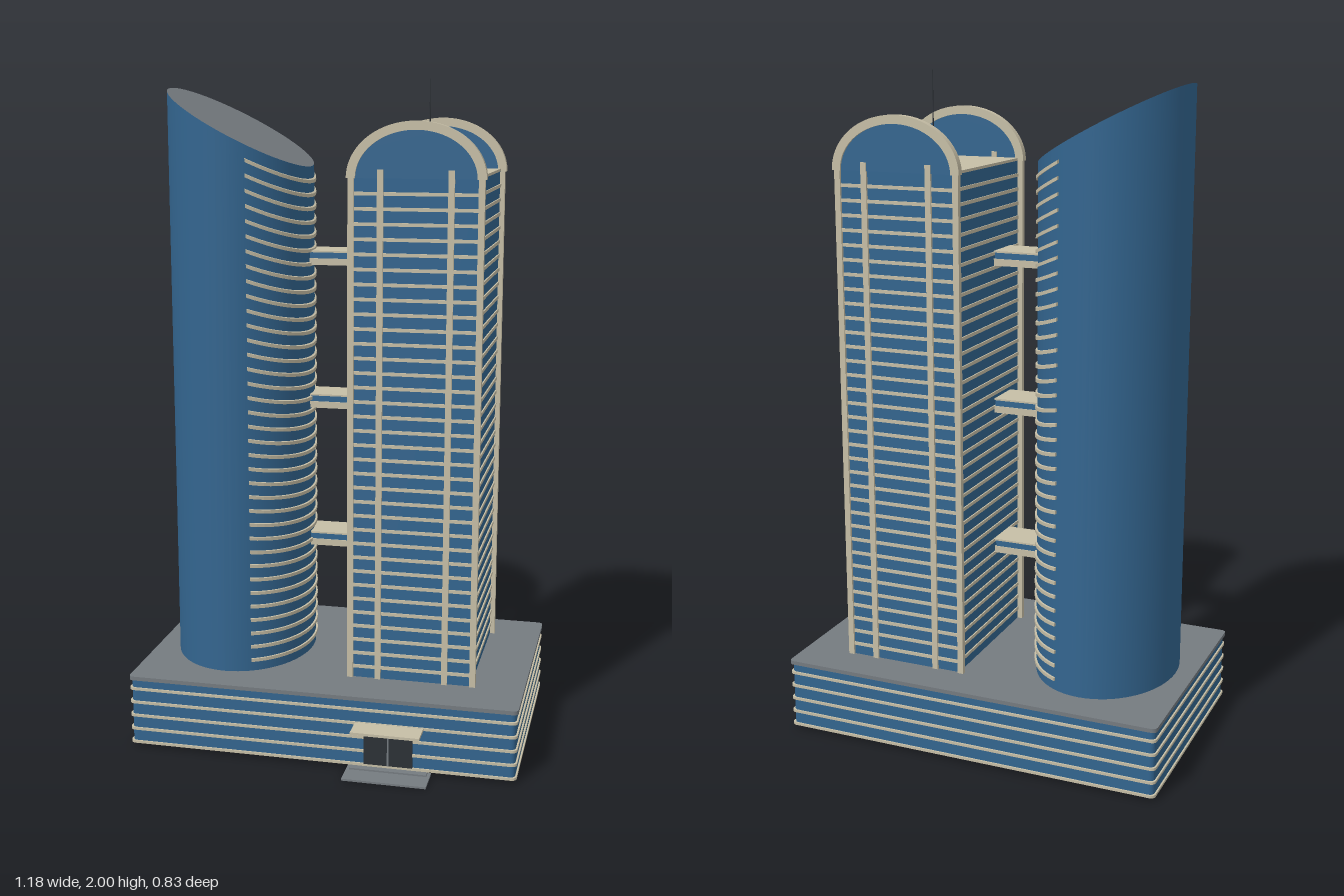
import * as THREE from 'three';

const mat = (color) => new THREE.MeshStandardMaterial({ color });
const glass = mat(0x33658f), stone = mat(0xc6bea6), roofGrey = mat(0x757b80), dark = mat(0x2c3136);

export function createModel() {
  const model = new THREE.Group();
  const group = (name) => {
    const g = new THREE.Group();
    g.name = name;
    model.add(g);
    return g;
  };
  const add = (parent, name, geo, material) => {
    const m = new THREE.Mesh(geo, material);
    m.name = name;
    parent.add(m);
    return m;
  };
  // Box given by its extents on each axis
  const box = (parent, name, x0, x1, y0, y1, z0, z1, material) => {
    const m = add(parent, name, new THREE.BoxGeometry(x1 - x0, y1 - y0, z1 - z0), material);
    m.position.set((x0 + x1) / 2, (y0 + y1) / 2, (z0 + z1) / 2);
    return m;
  };
  // Horizontal plate: a plan shape (x, -z) extruded upwards from y = 0
  const plate = (shape, height) => {
    const g = new THREE.ExtrudeGeometry(shape, { depth: height, bevelEnabled: false, curveSegments: 4 });
    return g.rotateX(-Math.PI / 2);
  };
  const roundedRect = (hw, hd, r, Type = THREE.Shape) => {
    const s = new Type();
    s.absarc(hw - r, hd - r, r, 0, Math.PI / 2);
    s.absarc(r - hw, hd - r, r, Math.PI / 2, Math.PI);
    s.absarc(r - hw, r - hd, r, Math.PI, Math.PI * 1.5);
    s.absarc(hw - r, r - hd, r, Math.PI * 1.5, Math.PI * 2);
    return s;
  };

  // Podium: hollow glass walls, floor bands and roof
  const podium = group('podium');
  podium.position.z = -0.04;
  const ring = (grow) => {
    const s = roundedRect(0.586 + grow, 0.366 + grow, 0.015);
    s.holes.push(roundedRect(0.576, 0.356, 0.01, THREE.Path));
    return s;
  };
  add(podium, 'podiumWalls', plate(ring(0), 0.21), glass).position.y = 0.01;
  for (let i = 0; i < 5; i++) {
    add(podium, 'podiumBand', plate(ring(0.005), 0.008), stone).position.y = 0.012 + i * 0.043;
  }
  add(podium, 'podiumRoof', plate(roundedRect(0.592, 0.372, 0.015), 0.012), roofGrey).position.y = 0.216;

  // Entrance on the front of the podium
  const entrance = group('entrance');
  box(entrance, 'entranceDoor', 0.14, 0.285, 0.02, 0.14, 0.31, 0.334, dark);
  box(entrance, 'doorMullion', 0.21, 0.215, 0.02, 0.14, 0.32, 0.336, roofGrey);
  box(entrance, 'canopy', 0.113, 0.317, 0.14, 0.148, 0.32, 0.403, stone);
  box(entrance, 'lowerStep', 0.09, 0.34, 0, 0.006, 0.32, 0.415, roofGrey);
  box(entrance, 'upperStep', 0.1, 0.33, 0.006, 0.011, 0.32, 0.35, roofGrey);

  // Oval tower with a sloping top
  const oval = group('ovalTower');
  const cx = -0.32, cz = -0.04, rx = 0.214, rz = 0.265, foot = 0.22;
  const slopeTop = (x) => 1.975 - (x + 0.535) * 0.535;
  const body = new THREE.CylinderGeometry(1, 1, 1, 64);
  const p = body.attributes.position;
  for (let i = 0; i < p.count; i++) {
    const x = cx + p.getX(i) * rx;
    p.setXYZ(i, x, p.getY(i) > 0 ? slopeTop(x) : foot - 0.01, cz + p.getZ(i) * rz);
  }
  body.computeVertexNormals();
  add(oval, 'ovalTowerBody', body, [glass, roofGrey, dark]);

  // Curved sunshades on the inner side, tilting more towards the top
  const shade = new THREE.Shape();
  const arc = [];
  for (let i = 0; i <= 24; i++) arc.push((-68 + (136 * i) / 24) * (Math.PI / 180));
  const at = (a, grow) => new THREE.Vector2(cx + Math.cos(a) * (rx + grow), -cz + Math.sin(a) * (rz + grow));
  shade.setFromPoints([...arc.map((a) => at(a, 0.006)), ...arc.reverse().map((a) => at(a, -0.008))]);
  const shadeCount = 37;
  for (let k = 1; k < shadeCount; k++) {
    const g = plate(shade, 0.01), q = g.attributes.position, t = k / shadeCount;
    for (let i = 0; i < q.count; i++) {
      q.setY(i, q.getY(i) - 0.005 + foot + t * (slopeTop(q.getX(i)) - foot));
    }
    g.computeVertexNormals();
    add(oval, 'sunshade', g, stone);
  }

  // Rectangular tower
  const tower = group('squareTower');
  const x0 = 0.072, x1 = 0.432, z0 = -0.285, z1 = 0.178, roofY = 1.725;
  box(tower, 'squareTowerBody', x0, x1, 0.1, roofY, z0, z1, glass);
  box(tower, 'squareTowerRoof', x0 - 0.002, x1 + 0.002, roofY, roofY + 0.008, z0, z1, stone);
  const floors = 35;
  for (let k = 1; k < floors; k++) {
    const y = foot + (k * (roofY - foot)) / floors;
    box(tower, 'floorBand', x0 - 0.004, x1 + 0.004, y - 0.005, y + 0.005, z0 - 0.004, z1 + 0.004, stone);
  }

  // Facade frames with columns and a glazed arch, front and back
  const half = (r, ry, Type) => new Type().absellipse(0, 0, r, ry, 0, Math.PI, false, 0);
  const extrude = (shape, depth) =>
    new THREE.ExtrudeGeometry(shape, { depth, bevelEnabled: false, curveSegments: 40 }).translate(0, 0, -depth / 2);
  const archShape = half(0.2, 0.16, THREE.Shape);
  archShape.lineTo(-0.174, 0);
  archShape.absellipse(0, 0, 0.174, 0.135, Math.PI, 0, true, 0);
  const archGeo = extrude(archShape, 0.022);
  const paneGeo = extrude(half(0.178, 0.139, THREE.Shape), 0.01);
  for (const z of [z0, z1]) {
    const facade = new THREE.Group();
    facade.name = z > 0 ? 'frontFacade' : 'backFacade';
    tower.add(facade);
    for (const x of [0.065, 0.15, 0.353, 0.438]) {
      const top = x > 0.1 && x < 0.4 ? 1.75 : roofY + 0.005;
      box(facade, 'column', x - 0.009, x + 0.009, foot, top, z - 0.008, z + 0.008, stone);
    }
    add(facade, 'archFrame', archGeo, stone).position.set(0.252, roofY, z);
    add(facade, 'archGlass', paneGeo, glass).position.set(0.252, roofY, z);
  }

  // Rooftop equipment
  for (const x of [0.173, 0.33]) {
    box(tower, 'rooftopUnit', x - 0.025, x + 0.025, roofY, 1.753, -0.165, -0.11, stone);
    box(tower, 'rooftopUnitLid', x - 0.026, x + 0.026, 1.753, 1.759, -0.166, -0.109, roofGrey);
  }
  const mast = add(tower, 'antenna', new THREE.CylinderGeometry(0.0015, 0.0025, 0.27, 8), dark);
  mast.position.set(0.252, 1.865, -0.042);

  // Balcony bridges on the inner side of the oval tower
  const bridges = group('bridges');
  for (const y of [0.595, 1.035, 1.475]) {
    box(bridges, 'bridgeDeck', -0.14, 0.016, y - 0.022, y - 0.002, -0.14, -0.02, stone);
    box(bridges, 'bridgeGlazing', -0.14, 0.013, y - 0.002, y + 0.016, -0.137, -0.023, glass);
    box(bridges, 'bridgeRoof', -0.14, 0.016, y + 0.016, y + 0.021, -0.14, -0.02, stone);
  }
  return model;
}
